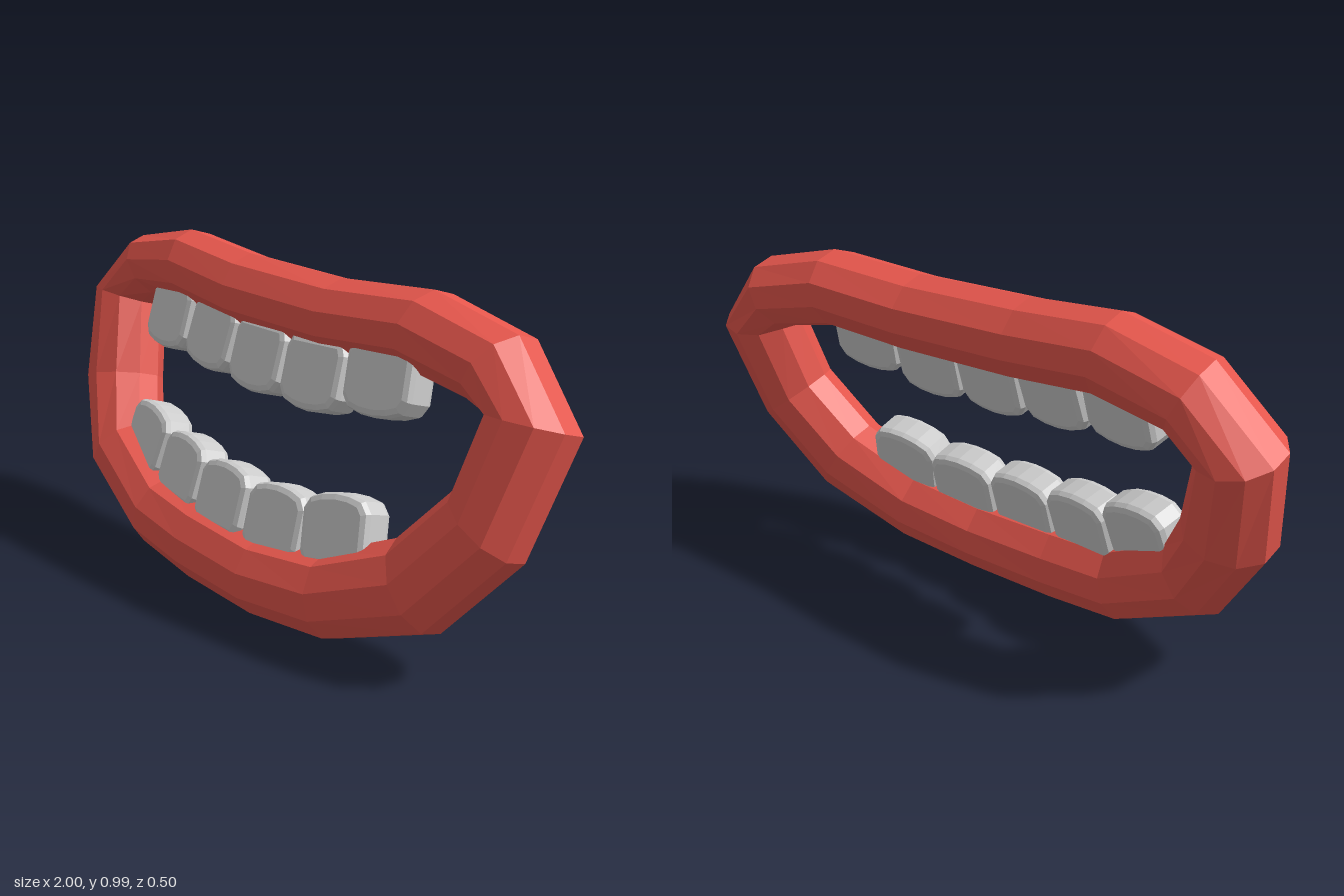
import * as THREE from 'three';

const TILT = 0.28; // the whole mouth leans back at the top
const lipMaterial = new THREE.MeshStandardMaterial({ color: 0xe5564c, flatShading: true, side: THREE.DoubleSide });
const toothMaterial = new THREE.MeshStandardMaterial({ color: 0xcccccc, flatShading: true });

// Lip stations: outer x, outer y, inner x, inner y, centre z
const leftCorner = [-1, 0.74, -0.78, 0.72, -0.135];
const rightCorner = [1, 0.69, 0.75, 0.69, -0.035];
const lowerStations = [
  leftCorner,
  [-0.95, 0.45, -0.71, 0.51, -0.06], [-0.77, 0.2, -0.62, 0.38, 0.03],
  [-0.46, 0.05, -0.4, 0.27, 0.085], [-0.2, 0.02, -0.19, 0.25, 0.115],
  [0.11, 0.01, 0.1, 0.235, 0.14], [0.4, 0.03, 0.35, 0.26, 0.135],
  [0.72, 0.14, 0.57, 0.35, 0.1], [0.92, 0.37, 0.71, 0.5, 0.04],
  rightCorner,
];
const upperStations = [
  rightCorner,
  [0.81, 0.89, 0.69, 0.71, -0.06], [0.53, 0.96, 0.48, 0.75, -0.06],
  [0.2, 0.945, 0.2, 0.735, -0.055], [-0.2, 0.96, -0.19, 0.745, -0.07],
  [-0.51, 0.99, -0.47, 0.775, -0.1], [-0.8, 0.935, -0.7, 0.76, -0.135],
  leftCorner,
];

// Tube skinned over ten-sided rings
function makeLip(name, stations) {
  const SIDES = 10, pos = [], index = [];
  const normal = new THREE.Vector3(0, Math.sin(TILT), Math.cos(TILT)).multiplyScalar(0.115);
  stations.forEach(([ox, oy, ix, iy, z], s) => {
    const c = new THREE.Vector3((ox + ix) / 2, (oy + iy) / 2, z);
    const hy = (oy - iy) / 2 * 0.96;
    const across = new THREE.Vector3((ox - ix) / 2, hy, -hy * Math.tan(TILT));
    for (let k = 0; k < SIDES; k++) {
      const a = (k + 0.5) / SIDES * Math.PI * 2;
      const p = c.clone().addScaledVector(across, Math.cos(a) * 1.03).addScaledVector(normal, Math.sin(a) * 1.03);
      pos.push(p.x, p.y, p.z);
      if (s === 0) continue;
      const k2 = (k + 1) % SIDES, a0 = (s - 1) * SIDES, b0 = s * SIDES;
      index.push(a0 + k, b0 + k, a0 + k2, b0 + k, b0 + k2, a0 + k2);
    }
  });
  const geo = new THREE.BufferGeometry();
  geo.setAttribute('position', new THREE.Float32BufferAttribute(pos, 3));
  geo.setIndex(index);
  geo.computeVertexNormals();
  const mesh = new THREE.Mesh(geo, lipMaterial);
  mesh.name = name;
  return mesh;
}

// Rounded block with an arched biting edge at +y
function toothGeometry() {
  const outline = [[-0.085, -0.08], [0.085, -0.08], [0.095, -0.06], [0.095, 0.045],
    [0.08, 0.066], [0.045, 0.076], [0, 0.08], [-0.045, 0.076], [-0.08, 0.066], [-0.095, 0.045], [-0.095, -0.06]];
  const shape = new THREE.Shape(outline.map(([x, y]) => new THREE.Vector2(x, y)));
  const geo = new THREE.ExtrudeGeometry(shape, {
    depth: 0.065, bevelEnabled: true, bevelThickness: 0.02, bevelSize: 0.02, bevelSegments: 2,
  });
  geo.translate(0, 0, -0.0325);
  return geo;
}

// Row of teeth: x, y, z, roll of each tooth
function makeTeeth(name, geo, places, flip) {
  const row = new THREE.Group();
  row.name = name;
  places.forEach(([x, y, z, roll], i) => {
    const a = places[Math.max(i - 1, 0)], b = places[Math.min(i + 1, places.length - 1)];
    const tooth = new THREE.Mesh(geo, toothMaterial);
    tooth.name = 'tooth';
    tooth.position.set(x, y, z);
    tooth.rotation.set(-TILT, -Math.atan2(b[2] - a[2], b[0] - a[0]), roll + (flip ? Math.PI : 0));
    row.add(tooth);
  });
  return row;
}

export function createModel() {
  const model = new THREE.Group();
  model.name = 'mouth';
  const geo = toothGeometry();
  model.add(
    makeLip('lowerLip', lowerStations),
    makeLip('upperLip', upperStations),
    makeTeeth('upperTeeth', geo, [
      [-0.51, 0.73, -0.05, -0.05], [-0.275, 0.712, -0.02, -0.11], [-0.045, 0.692, 0, -0.03],
      [0.19, 0.687, 0.01, 0.02], [0.428, 0.718, 0, 0.09],
    ], true),
    makeTeeth('lowerTeeth', geo, [
      [-0.53, 0.362, 0.03, -0.2], [-0.315, 0.318, 0.065, -0.11], [-0.085, 0.295, 0.1, -0.03],
      [0.15, 0.288, 0.11, 0.02], [0.375, 0.318, 0.1, 0.16],
    ], false),
  );
  return model;
}
